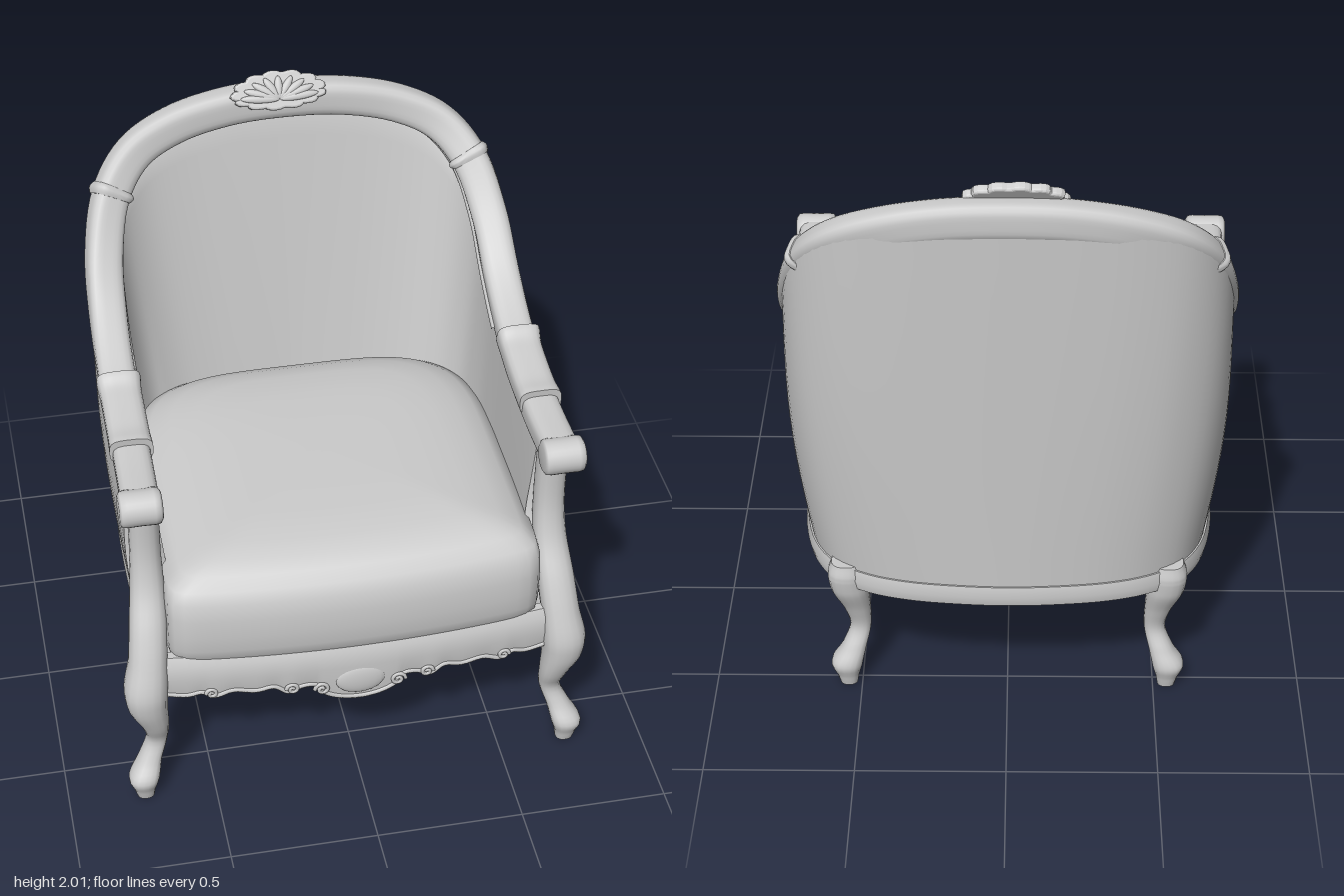
import * as THREE from 'three';
import { toCreasedNormals } from 'three/addons/utils/BufferGeometryUtils.js';

const V3 = (x, y, z) => new THREE.Vector3(x, y, z);
const material = new THREE.MeshStandardMaterial({ color: 0xcccccc });
const openMaterial = new THREE.MeshStandardMaterial({ color: 0xcccccc, side: THREE.DoubleSide });
const TAU = Math.PI * 2;

function add(parent, name, geometry, mat = material) {
  const mesh = new THREE.Mesh(geometry, mat);
  mesh.name = name;
  parent.add(mesh);
  return mesh;
}

// Skins a list of closed rings, caps the ends and turns the faces outward.
function loft(rings, crease = 0.75, openStart = false) {
  const n = rings[0].length, pts = rings.flat(), idx = [];
  for (let i = 0; i < rings.length - 1; i++) {
    for (let j = 0; j < n; j++) {
      const a = i * n + j, b = i * n + (j + 1) % n;
      idx.push(a, b, a + n, b, b + n, a + n);
    }
  }
  [0, rings.length - 1].forEach((r, end) => {
    if (openStart && end === 0) return;
    const mid = V3(0, 0, 0);
    rings[r].forEach((p) => mid.addScaledVector(p, 1 / n));
    const c = pts.push(mid) - 1;
    for (let j = 0; j < n; j++) {
      const a = r * n + j, b = r * n + (j + 1) % n;
      idx.push(...(end ? [c, a, b] : [c, b, a]));
    }
  });
  let volume = 0;
  for (let i = 0; i < idx.length; i += 3) {
    volume += pts[idx[i]].dot(pts[idx[i + 1]].clone().cross(pts[idx[i + 2]]));
  }
  if (volume < 0) idx.reverse();
  const g = new THREE.BufferGeometry().setFromPoints(pts);
  g.setIndex(idx);
  return toCreasedNormals(g, crease);
}

// Rounded-square unit section; a higher power gives squarer corners.
function squircle(count, powerAt) {
  return Array.from({ length: count }, (_, i) => {
    const c = Math.cos(i / count * TAU), s = Math.sin(i / count * TAU), p = powerAt(s);
    const r = (Math.abs(c) ** p + Math.abs(s) ** p) ** (-1 / p);
    return [c * r, s * r];
  });
}

// Mirrors half a path (left front to back centre) to the right side.
function fullCurve(half) {
  const pts = half.map((p) => V3(...p));
  const other = pts.slice(0, -1).reverse().map((p) => V3(-p.x, p.y, p.z));
  return new THREE.CatmullRomCurve3([...pts, ...other]);
}
const railCurve = fullCurve([[0.69, 1.18, 0.56], [0.685, 1.183, 0.35], [0.683, 1.208, 0.1], [0.684, 1.26, -0.08],
  [0.682, 1.365, -0.26], [0.67, 1.51, -0.4], [0.622, 1.67, -0.52], [0.53, 1.775, -0.6],
  [0.39, 1.84, -0.643], [0.2, 1.88, -0.663], [0, 1.89, -0.668]]);
const baseCurve = fullCurve([[0.67, 0.5, 0.56], [0.685, 0.5, 0.35], [0.69, 0.5, 0.1], [0.69, 0.5, -0.08],
  [0.68, 0.5, -0.26], [0.645, 0.5, -0.41], [0.575, 0.5, -0.52], [0.465, 0.5, -0.59],
  [0.335, 0.5, -0.63], [0.17, 0.5, -0.652], [0, 0.5, -0.66]]);

// Point on the seat rail with its horizontal outward normal.
function baseFrame(u) {
  const t = baseCurve.getTangent(u);
  return { low: baseCurve.getPoint(u), n: V3(-t.z, 0, t.x).normalize() };
}

// Outward and upward/forward axes of the top rail.
function railFrame(u) {
  const p = railCurve.getPoint(u), t = railCurve.getTangent(u);
  const out = V3(p.x, Math.max(0, p.y - 1.25), 0);
  out.addScaledVector(t, -out.dot(t)).normalize();
  return { p, out, up: out.clone().cross(t).normalize() };
}

// Sweeps a section along part of the rail, u counted in control points.
const railSection = squircle(28, () => 3.8);
function railSweep(from, to, steps, size) {
  return loft(Array.from({ length: steps + 1 }, (_, i) => {
    const k = i / steps, { p, out, up } = railFrame((from + (to - from) * k) / 20);
    const [a, b, lift = 0] = size(k);
    return railSection.map(([x, y]) => p.clone().addScaledVector(out, x * a).addScaledVector(up, y * b + lift));
  }));
}

// Leg or post from rows of [x, y, z, radius].
const legSection = squircle(18, () => 2.5);
function turnedLeg(rows, side) {
  const path = new THREE.CatmullRomCurve3(rows.map(([x, y, z]) => V3(x * side, y, z)));
  const radius = new THREE.CatmullRomCurve3(rows.map((r) => V3(r[3], 0, 0)));
  return loft(Array.from({ length: 49 }, (_, i) => {
    const p = path.getPoint(i / 48), r = radius.getPoint(i / 48).x;
    return legSection.map(([x, z]) => V3(p.x + x * r, p.y, p.z + z * r));
  }));
}

// Horizontal slice of the cushion: crisp front corners, rounded back.
const seatOutline = squircle(160, (s) => (s > 0 ? 22 : 4));
const seatSlice = ([y, sx, sz]) => seatOutline.map(([x, z]) =>
  V3(x * 0.632 * sx, y, 0.08 + sz * (z > 0 ? z * (0.615 - 0.045 * x * x) : z * 0.64)));

export function createModel() {
  const chair = new THREE.Group();
  chair.name = 'armchair';

  // Upholstered wrap-around back and sides, thicker padding at the back
  const shell = [];
  for (let i = 0; i <= 80; i++) {
    const { p: top, out, up } = railFrame(i / 80), { low, n } = baseFrame(i / 80);
    const back = Math.abs(n.z), corner = 2 * Math.abs(n.x * n.z);
    const outerTop = top.clone().addScaledVector(n, 0.04 + 0.008 * back).addScaledVector(out, 0.03 * back);
    const innerTop = top.clone().addScaledVector(out, -0.048).addScaledVector(up, -0.012);
    const innerLow = low.clone().addScaledVector(n, -0.085 - 0.07 * back - 0.025 * corner).setY(0.57);
    const behindPost = (p) => {
      p.z = Math.min(p.z, 0.57 - 0.125 * THREE.MathUtils.smoothstep(p.y, 0.52, 0.92));
      return p;
    };
    const outer = [], inner = [];
    for (let j = 0; j <= 12; j++) {
      const v = j / 12, bulge = 0.03 * Math.abs(n.x) * Math.sin(v * Math.PI);
      outer.push(behindPost(low.clone().lerp(outerTop, v).addScaledVector(n, bulge)));
      inner.unshift(behindPost(innerLow.clone().lerp(innerTop, v)));
    }
    shell.push([...outer, ...inner]);
  }
  add(chair, 'upholsteredShell', loft(shell));

  // Top rail, inner welt, joint collars and arm pads
  add(chair, 'topRail', railSweep(0, 20, 120, () => [0.062, 0.05]));
  const welt = Array.from({ length: 57 }, (_, i) => {
    const { p, out, up } = railFrame((3 + 14 * i / 56) / 20);
    return p.addScaledVector(out, -0.058).addScaledVector(up, -0.02);
  });
  add(chair, 'innerWelt', new THREE.TubeGeometry(new THREE.CatmullRomCurve3(welt), 120, 0.014, 8));
  for (const side of [1, -1]) {
    const at = (k) => (side > 0 ? k : 20 - k);
    add(chair, 'railCollar', railSweep(at(5.92), at(6.12), 6, (k) => {
      const bulge = 0.008 * Math.sin(k * Math.PI);
      return [0.065 + bulge, 0.053 + bulge];
    }));
    add(chair, 'armLeafPad', railSweep(at(1.2), at(2.65), 24, (k) => {
      const lip = 0.012 * Math.exp(-60 * k * k) + 0.022 * Math.exp(-50 * (1 - k) ** 2);
      return [0.069 + lip * 0.2, 0.042 + 0.008 * Math.sin(k * Math.PI) + lip * 0.5, 0.02 + lip * 0.5];
    }));

    // Rolled arm end
    const profile = [[0, -0.07], [0.045, -0.07], [0.058, -0.062], [0.061, -0.045], [0.06, 0],
      [0.061, 0.045], [0.058, 0.062], [0.045, 0.07], [0, 0.07]].map((p) => new THREE.Vector2(...p));
    const roll = add(chair, 'armScroll', new THREE.LatheGeometry(profile, 28));
    roll.rotation.z = Math.PI / 2;
    roll.position.set(0.693 * side, 1.18, 0.553);

    // Front cabriole leg running up into the arm post
    add(chair, 'frontLegAndPost', turnedLeg([[0.738, 0, 0.653, 0.03], [0.74, 0.035, 0.655, 0.037],
      [0.74, 0.085, 0.654, 0.052], [0.715, 0.145, 0.628, 0.041], [0.686, 0.22, 0.61, 0.036],
      [0.69, 0.3, 0.63, 0.046], [0.712, 0.39, 0.637, 0.066], [0.716, 0.47, 0.635, 0.073],
      [0.702, 0.58, 0.612, 0.064], [0.69, 0.7, 0.565, 0.062], [0.68, 0.82, 0.507, 0.056],
      [0.678, 0.95, 0.484, 0.051], [0.678, 1.16, 0.49, 0.05]], side));

    // Rear cabriole leg
    add(chair, 'rearLeg', turnedLeg([[0.546, 0, -0.522, 0.03], [0.548, 0.035, -0.522, 0.038],
      [0.55, 0.085, -0.518, 0.054], [0.525, 0.145, -0.508, 0.042], [0.502, 0.22, -0.488, 0.036],
      [0.512, 0.31, -0.498, 0.046], [0.533, 0.4, -0.516, 0.063], [0.54, 0.46, -0.524, 0.064],
      [0.54, 0.515, -0.528, 0.05]], side));
  }

  // Curved seat rail below the upholstery
  add(chair, 'seatRail', loft(Array.from({ length: 81 }, (_, i) => {
    const { low, n } = baseFrame(i / 80);
    return [[0.006, 0.43], [0.014, 0.465], [0.006, 0.503], [-0.05, 0.503], [-0.05, 0.43]]
      .map(([d, y]) => low.clone().addScaledVector(n, d).setY(y));
  })));

  // Plump seat cushion, crowned on top and hollow underneath
  add(chair, 'seatCushion', loft([[0.565, 0.99, 0.965], [0.58, 0.995, 0.98], [0.62, 1, 0.995], [0.68, 1, 1],
    [0.75, 1, 0.998], [0.81, 0.998, 0.98], [0.85, 0.982, 0.945], [0.885, 0.91, 0.885], [0.91, 0.8, 0.81],
    [0.927, 0.66, 0.7], [0.936, 0.48, 0.5], [0.94, 0.25, 0.25], [0.941, 0.01, 0.01]].map(seatSlice), 0.9, true), openMaterial);

  // Serpentine front apron with a carved lower edge
  const halfEdge = [[0.66, 0.44], [0.58, 0.43], [0.53, 0.44], [0.49, 0.42], [0.43, 0.44], [0.35, 0.43], [0.29, 0.44],
    [0.24, 0.41], [0.2, 0.43], [0.15, 0.43], [0.12, 0.39], [0.07, 0.365], [0, 0.355]];
  const apronZ = (x) => 0.685 - 0.1 * x * x;
  const edge = fullCurve(halfEdge.map(([x, y]) => [x, y, apronZ(x)])).getPoints(120);
  add(chair, 'frontApron', loft(edge.map((p) => [[p.y, 0], [0.5, 0.012], [0.56, 0.005], [0.59, -0.01], [0.59, -0.04], [p.y, -0.03]]
    .map(([y, d]) => V3(p.x, y, p.z + d)))));
  add(chair, 'apronBead', new THREE.TubeGeometry(new THREE.CatmullRomCurve3(edge), 160, 0.009, 6));
  for (const side of [1, -1]) {
    for (const [x, y, size] of [[0.13, 0.41, 0.026], [0.23, 0.425, 0.022], [0.5, 0.435, 0.02]]) {
      const spiral = Array.from({ length: 16 }, (_, i) => {
        const a = i * 0.6, r = size * (1 - i / 18);
        return V3(side * (x + r * Math.cos(a)), y + r * Math.sin(a), apronZ(x) + 0.006);
      });
      add(chair, 'apronScroll', new THREE.TubeGeometry(new THREE.CatmullRomCurve3(spiral), 40, 0.007, 6));
    }
  }

  // Low carved boss in the middle of the apron
  const apronBoss = add(chair, 'apronBoss', new THREE.SphereGeometry(1, 20, 12));
  apronBoss.scale.set(0.085, 0.06, 0.016);
  apronBoss.position.set(0, 0.435, 0.688);

  // Carved leaf crest on the top rail: scalloped plate with raised ribs
  const crest = new THREE.Group();
  crest.name = 'crest';
  crest.position.set(-0.025, 1.933, -0.628);
  crest.rotation.x = -0.55;
  chair.add(crest);
  const lobes = Array.from({ length: 72 }, (_, i) => {
    const a = i / 72 * TAU, r = 0.86 + 0.14 * Math.abs(Math.sin(a * 6.5));
    return new THREE.Vector2(0.158 * r * Math.cos(a), (Math.sin(a) > 0 ? 0.07 : 0.05) * r * Math.sin(a));
  });
  add(crest, 'crestPlate', new THREE.ExtrudeGeometry(new THREE.Shape(lobes),
    { depth: 0.012, bevelThickness: 0.01, bevelSize: 0.008, bevelSegments: 3 }));
  for (let i = -4; i <= 4; i++) {
    const a = i * 0.36, x = Math.sin(a) * 0.135, y = -0.02 + Math.cos(a) * 0.078;
    const rib = add(crest, 'crestRib', new THREE.SphereGeometry(1, 14, 10));
    rib.scale.set(0.014, Math.hypot(x, y + 0.02) / 2, 0.01);
    rib.position.set(x / 2, (y - 0.02) / 2, 0.022);
    rib.rotation.z = -Math.atan2(x, y + 0.02);
  }
  return chair;
}
